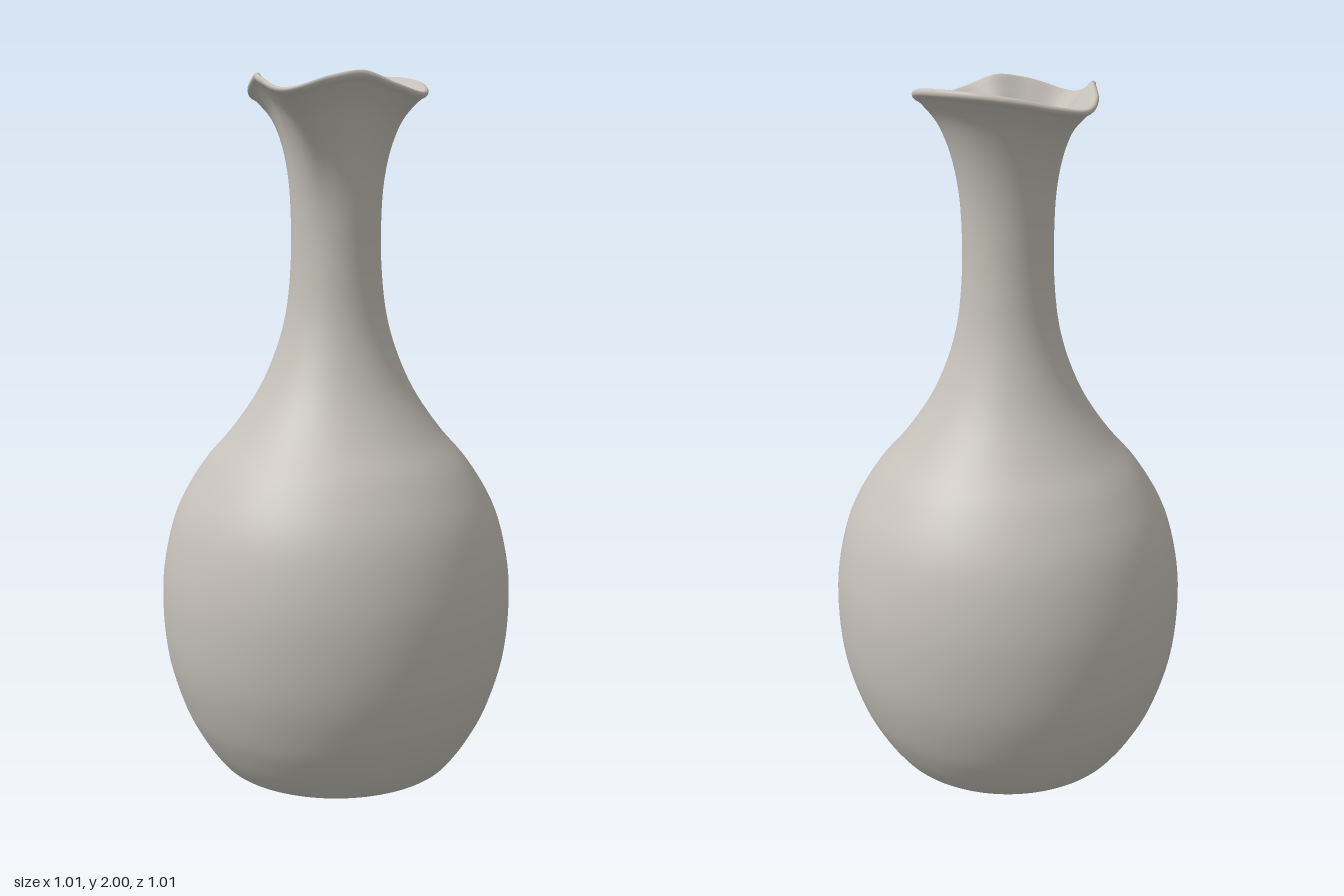
import * as THREE from 'three';
import { mergeVertices } from 'three/addons/utils/BufferGeometryUtils.js';

// Rim radius and height every 22.5 degrees, from the spout (front) round to the back
const RIM_R = [0.315, 0.277, 0.238, 0.246, 0.26, 0.256, 0.257, 0.264, 0.27];
const RIM_Y = [1.948, 1.98, 1.995, 1.965, 1.945, 1.958, 1.98, 1.995, 2.0];

// Smooth interpolation of half-circle samples, mirrored left to right
function sampleRim(values, angle) {
  const n = values.length - 1;
  const at = (i) => values[Math.abs(i) > n ? 2 * n - Math.abs(i) : Math.abs(i)];
  const f = (Math.abs(angle) / Math.PI) * n;
  const i = Math.min(Math.floor(f), n - 1);
  const t = f - i;
  const [a, b, c, d] = [at(i - 1), at(i), at(i + 1), at(i + 2)];
  return b + 0.5 * t * (c - a + t * (2 * a - 5 * b + 4 * c - d + t * (3 * (b - c) + d - a)));
}

function spline(points, count) {
  return new THREE.SplineCurve(points.map(([r, y]) => new THREE.Vector2(r, y))).getPoints(count);
}

export function createModel() {
  const group = new THREE.Group();
  group.name = 'carafe';
  const clay = new THREE.MeshStandardMaterial({ color: 0xc4c0b8 });
  clay.name = 'warm grey clay';

  // Outer wall from foot to lip
  const outer = spline([
    [0.3, 0], [0.335, 0.008], [0.365, 0.04], [0.405, 0.1], [0.45, 0.19], [0.492, 0.33],
    [0.507, 0.48], [0.499, 0.62], [0.46, 0.77], [0.385, 0.9], [0.3, 1.0], [0.225, 1.11],
    [0.175, 1.22], [0.144, 1.33], [0.13, 1.45], [0.127, 1.57], [0.134, 1.69],
    [0.155, 1.79], [0.19, 1.87], [0.235, 1.92], [0.255, 1.933], [0.26, 1.941],
    [0.257, 1.948], [0.25, 1.95],
  ], 110);

  // Inner wall from lip to floor
  const inner = spline([
    [0.25, 1.95], [0.243, 1.946], [0.225, 1.93], [0.175, 1.88], [0.135, 1.8], [0.113, 1.7],
    [0.105, 1.57], [0.108, 1.45], [0.123, 1.33], [0.153, 1.22], [0.203, 1.11],
    [0.278, 1.0], [0.363, 0.89], [0.436, 0.77], [0.477, 0.62], [0.485, 0.48],
    [0.47, 0.33], [0.428, 0.19], [0.37, 0.07], [0.3, 0.03],
  ], 80);

  const profile = [
    new THREE.Vector2(0, 0), new THREE.Vector2(0.15, 0), new THREE.Vector2(0.28, 0),
    ...outer, ...inner.slice(1),
    new THREE.Vector2(0.15, 0.03), new THREE.Vector2(0, 0.03),
  ];

  let geometry = new THREE.LatheGeometry(profile, 128);

  // Pull the round mouth into a wavy lip with a pouring spout
  const pos = geometry.attributes.position;
  for (let i = 0; i < pos.count; i++) {
    const x = pos.getX(i), y = pos.getY(i), z = pos.getZ(i);
    if (y < 1.55) continue;
    const angle = Math.atan2(x, z);
    const w = ((y - 1.55) / 0.4) ** 2;
    const r = Math.hypot(x, z) + (sampleRim(RIM_R, angle) - 0.26) * w;
    pos.setXYZ(i, r * Math.sin(angle), y + (sampleRim(RIM_Y, angle) - 1.95) * w, r * Math.cos(angle));
  }

  // Weld the seam so shading is smooth all round
  geometry.deleteAttribute('uv');
  geometry.deleteAttribute('normal');
  geometry = mergeVertices(geometry, 1e-5);
  geometry.computeVertexNormals();

  const vessel = new THREE.Mesh(geometry, clay);
  vessel.name = 'vessel';
  group.add(vessel);
  return group;
}
